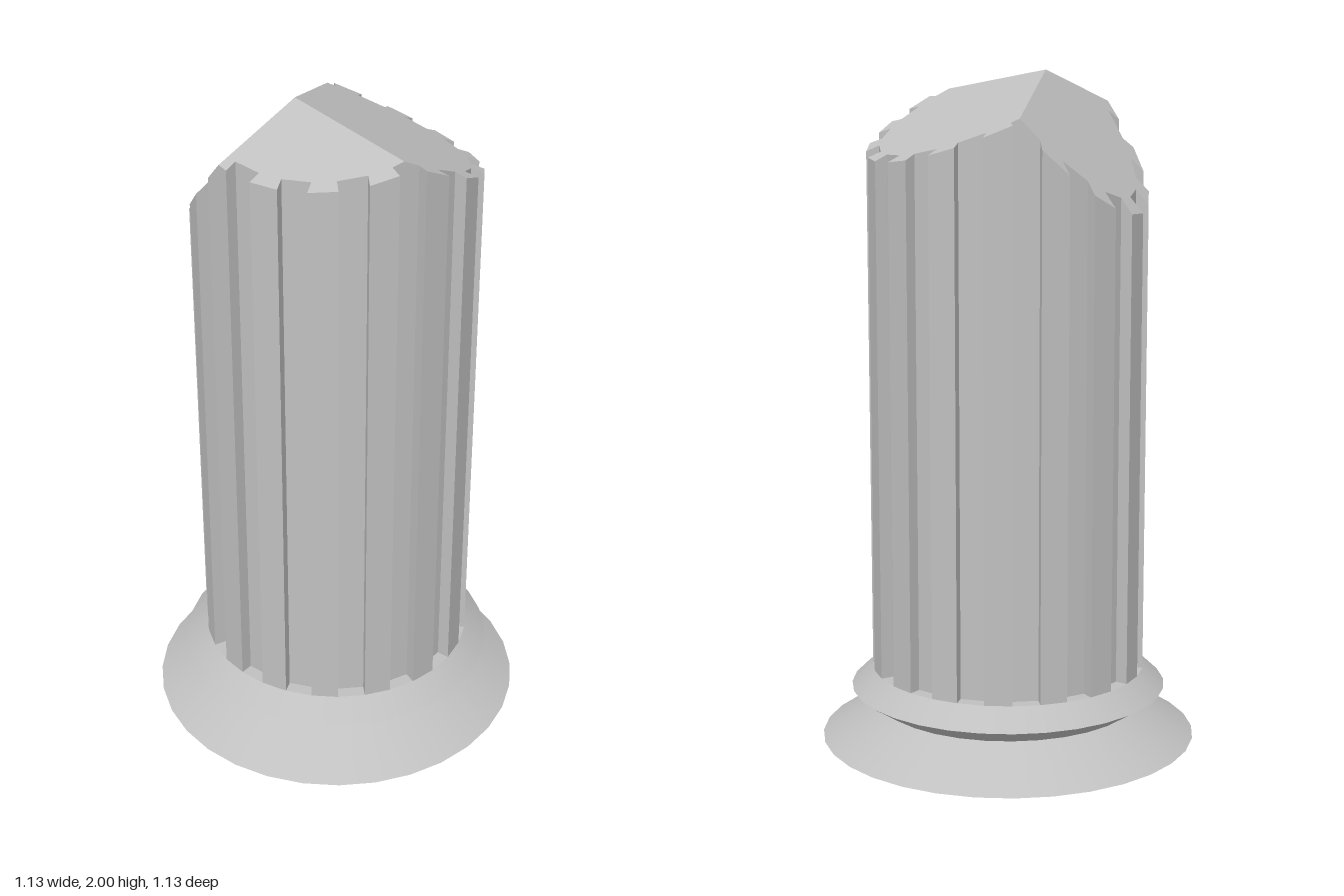
import * as THREE from 'three';

const SIDES = 32, RADIUS = 0.413, FLUTE_DEPTH = 0.038, SHAFT_BOTTOM = 0.215;
const STEP = (Math.PI * 2) / SIDES;

// Broken top: three sloping planes meeting at a peak, y = 2 + a(x - px) + b(z - pz)
const PEAK = { x: -0.12, z: 0.01 };
const SLOPES = [[-0.471, 0.079], [0.2045, -0.2766], [0.88, 0.835]];
const planeY = ([a, b], p) => 2 + a * (p.x - PEAK.x) + b * (p.z - PEAK.z);
const topY = (p) => Math.min(...SLOPES.map((s) => planeY(s, p)));
const mix = (p, q, t) => ({ x: p.x + (q.x - p.x) * t, z: p.z + (q.z - p.z) * t });

// Keep the part of a convex polygon where f(p) <= 0
function clip(poly, f) {
  const out = [];
  poly.forEach((p, i) => {
    const q = poly[(i + 1) % poly.length], fp = f(p), fq = f(q);
    if (fp <= 0) out.push(p);
    if ((fp < 0 && fq > 0) || (fp > 0 && fq < 0)) out.push(mix(p, q, fp / (fp - fq)));
  });
  return out;
}

function flatGeometry(positions) {
  const g = new THREE.BufferGeometry();
  g.setAttribute('position', new THREE.Float32BufferAttribute(positions, 3));
  g.computeVertexNormals();
  return g;
}

// Cross-section: ribs alternating with square-cut flutes, counter-clockwise from above
function shaftSection() {
  const outline = [], core = [], ribs = [];
  const polar = (a) => ({ x: Math.sin(a) * RADIUS, z: Math.cos(a) * RADIUS });
  const sink = (p, a) => ({ x: p.x - Math.sin(a) * FLUTE_DEPTH, z: p.z - Math.cos(a) * FLUTE_DEPTH });
  for (let i = 0; i < SIDES; i += 2) {
    const mid = i * STEP;
    const left = polar(mid - STEP / 2), right = polar(mid + STEP / 2);
    const leftIn = sink(left, mid - STEP), rightIn = sink(right, mid + STEP);
    outline.push(leftIn, left, right, rightIn);
    core.push(leftIn, rightIn);
    ribs.push([leftIn, left, right, rightIn]);
  }
  return { outline, pieces: [core, ...ribs] };
}

// Shaft walls, each split where it crosses a ridge of the broken top
function wallGeometry(outline) {
  const pos = [];
  outline.forEach((p, i) => {
    const q = outline[(i + 1) % outline.length];
    const cuts = [0, 1];
    for (let j = 0; j < 3; j++) {
      const s = SLOPES[j], r = SLOPES[(j + 1) % 3];
      const dp = planeY(s, p) - planeY(r, p), dq = planeY(s, q) - planeY(r, q);
      if (dp * dq < 0) cuts.push(dp / (dp - dq));
    }
    cuts.sort((a, b) => a - b);
    for (let k = 0; k < cuts.length - 1; k++) {
      const a = mix(p, q, cuts[k]), b = mix(p, q, cuts[k + 1]);
      const a0 = [a.x, SHAFT_BOTTOM, a.z], b0 = [b.x, SHAFT_BOTTOM, b.z];
      const a1 = [a.x, topY(a), a.z], b1 = [b.x, topY(b), b.z];
      pos.push(...a0, ...b0, ...b1, ...a0, ...b1, ...a1);
    }
  });
  return flatGeometry(pos);
}

// Broken faces: every convex piece of the section cut up among the three planes
function breakGeometry(pieces) {
  const pos = [];
  for (const piece of pieces) {
    for (const s of SLOPES) {
      let poly = piece;
      for (const r of SLOPES) {
        if (r !== s) poly = clip(poly, (p) => planeY(s, p) - planeY(r, p));
      }
      for (let i = 1; i < poly.length - 1; i++) {
        for (const p of [poly[0], poly[i], poly[i + 1]]) pos.push(p.x, planeY(s, p), p.z);
      }
    }
  }
  return flatGeometry(pos);
}

export function createModel() {
  const model = new THREE.Group();
  model.name = 'brokenColumn';
  const stone = new THREE.MeshStandardMaterial({ color: 0xc0c0c0 });
  stone.name = 'greyStone';

  const add = (name, geometry) => {
    const mesh = new THREE.Mesh(geometry, stone);
    mesh.name = name;
    model.add(mesh);
  };

  // Base mouldings: [name, bottom radius, top radius, bottom y, top y]
  const mouldings = [
    ['baseFoot', 0.567, 0.4, 0, 0.105],
    ['baseFlare', 0.4, 0.477, 0.105, 0.155],
    ['baseCollar', 0.477, 0.413, 0.155, SHAFT_BOTTOM],
  ];
  for (const [name, r0, r1, y0, y1] of mouldings) {
    const g = new THREE.CylinderGeometry(r1, r0, y1 - y0, SIDES, 1, name === 'baseFlare');
    g.rotateY(STEP / 2).translate(0, (y0 + y1) / 2, 0);
    add(name, g);
  }

  // Fluted shaft with its broken top
  const { outline, pieces } = shaftSection();
  add('flutedShaft', wallGeometry(outline));
  add('brokenTop', breakGeometry(pieces));
  return model;
}
